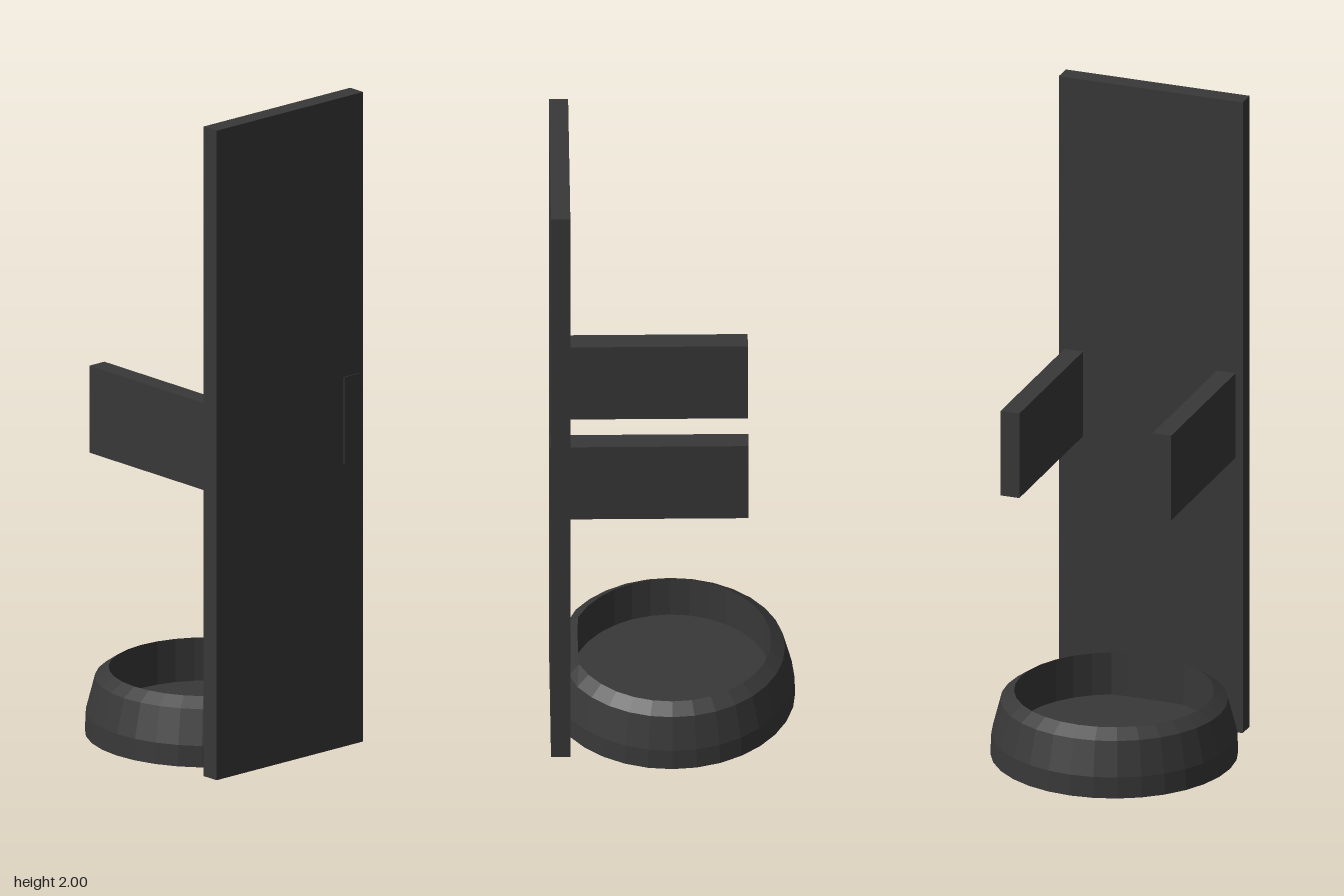
import * as THREE from 'three';

const material = new THREE.MeshStandardMaterial({ color: 0x383838, flatShading: true });

// Box given by its min and max corners
function slab(name, min, max) {
  const size = max.map((v, i) => v - min[i]);
  const mesh = new THREE.Mesh(new THREE.BoxGeometry(...size), material);
  mesh.position.set(...max.map((v, i) => (v + min[i]) / 2));
  mesh.name = name;
  return mesh;
}

// Round tray with a bevelled rim, flattened where it meets the panel
function tray() {
  const profile = [
    [0, 0.01], [0.365, 0.01], [0.362, 0.075], [0.335, 0.18],
    [0.295, 0.208], [0.295, 0.075], [0, 0.075],
  ].map(([r, y]) => new THREE.Vector2(r, y));
  const geometry = new THREE.LatheGeometry(profile, 32);
  const pos = geometry.attributes.position;
  for (let i = 0; i < pos.count; i++) {
    const r = Math.hypot(pos.getX(i), pos.getZ(i));
    const limit = r < 0.31 ? 0.275 : 0.303;
    pos.setZ(i, Math.min(pos.getZ(i), limit));
  }
  geometry.computeVertexNormals();
  const mesh = new THREE.Mesh(geometry, material);
  mesh.name = 'baseTray';
  return mesh;
}

export function createModel() {
  const group = new THREE.Group();
  group.name = 'panelStand';

  // Tall upright panel
  group.add(slab('frontPanel', [-0.29, 0, 0.3], [0.29, 2, 0.357]));

  // Two arms reaching back; the left one passes through the panel
  group.add(slab('leftArm', [0.213, 0.87, -0.225], [0.272, 1.138, 0.36]));
  group.add(slab('rightArm', [-0.267, 0.87, -0.228], [-0.208, 1.138, 0.34]));

  group.add(tray());
  return group;
}
